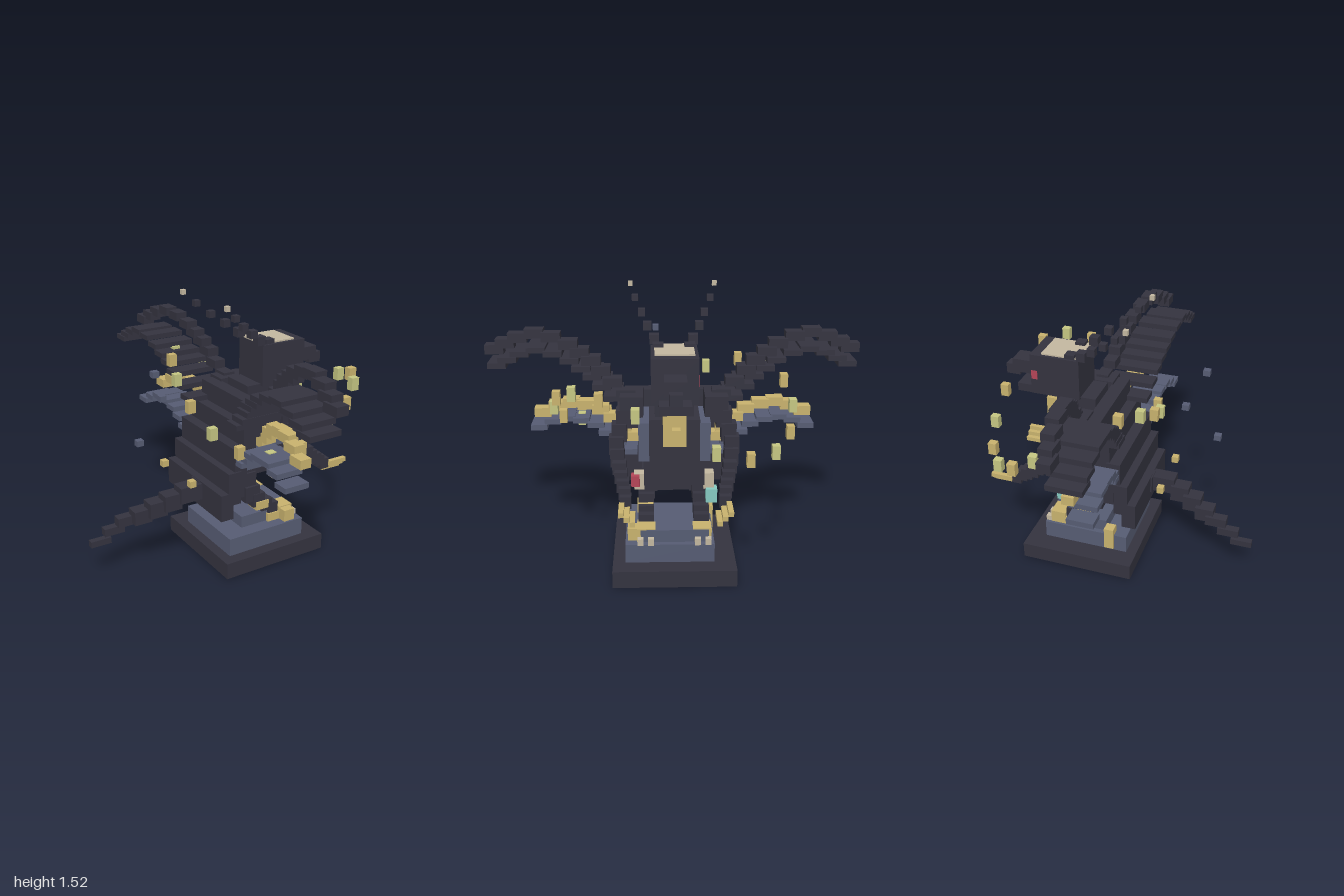
import * as THREE from 'three';

export function createModel() {
  const root = new THREE.Group();
  const mat = (name, color) => new THREE.MeshStandardMaterial({ name, color });
  const dark = mat('charcoal', 0x34333f), slate = mat('slate', 0x565c73), gold = mat('gold', 0xc8b26e),
    green = mat('pale green', 0xc5c682), cream = mat('cream', 0xc3b7a0), red = mat('red', 0xb54558),
    teal = mat('teal', 0x86c9c0);

  const part = (name) => {
    const g = new THREE.Group();
    g.name = name;
    root.add(g);
    return g;
  };
  // box given by its limits on each axis
  const span = (g, name, m, x0, x1, y0, y1, z0, z1) => {
    const mesh = new THREE.Mesh(new THREE.BoxGeometry(x1 - x0, y1 - y0, z1 - z0), m);
    mesh.position.set((x0 + x1) / 2, (y0 + y1) / 2, (z0 + z1) / 2);
    mesh.name = name;
    g.add(mesh);
    return mesh;
  };
  // box given by centre and size
  const box = (g, name, m, [x, y, z], [w, h, d]) =>
    span(g, name, m, x - w / 2, x + w / 2, y - h / 2, y + h / 2, z - d / 2, z + d / 2);

  // stepped plinth
  const base = part('plinth');
  span(base, 'bottomStep', dark, -0.12, 0.54, 0, 0.095, -0.33, 0.33);
  span(base, 'middleStep', slate, -0.06, 0.44, 0.095, 0.2, -0.215, 0.262);
  span(base, 'topStep', slate, 0.07, 0.41, 0.2, 0.27, -0.185, 0.18);
  span(base, 'rearOrnament', gold, 0.014, 0.07, 0.11, 0.245, -0.23, -0.17);
  span(base, 'frontOrnament', gold, 0.32, 0.39, 0.2, 0.27, 0.18, 0.25);

  // torso and neck
  const body = part('body');
  span(body, 'belly', dark, 0.06, 0.36, 0.51, 0.74, -0.16, 0.16);
  span(body, 'hips', dark, 0, 0.2, 0.41, 0.52, -0.1, 0.1);
  span(body, 'torso', slate, 0.1, 0.415, 0.67, 0.88, -0.185, 0.185);
  span(body, 'chest', dark, 0.2, 0.425, 0.66, 0.9, -0.13, 0.13);
  span(body, 'chestPlate', gold, 0.36, 0.455, 0.765, 0.96, -0.06, 0.06);
  span(body, 'neck', dark, 0.15, 0.375, 0.85, 1.02, -0.1, 0.1);

  // head
  const head = part('head');
  span(head, 'skull', dark, 0.235, 0.515, 1.01, 1.243, -0.118, 0.118);
  span(head, 'crownPlate', cream, 0.238, 0.455, 1.243, 1.251, -0.1, 0.1);
  span(head, 'muzzle', dark, 0.515, 0.65, 1.09, 1.167, -0.055, 0.055);
  span(head, 'muzzleTip', dark, 0.62, 0.7, 1.06, 1.12, -0.032, 0.032);
  span(head, 'jaw', dark, 0.33, 0.615, 0.988, 1.035, -0.08, 0.08);
  span(head, 'eye', red, 0.475, 0.51, 1.1, 1.15, -0.122, -0.117);

  // stepped shell down the back
  const shell = part('backShell');
  [[-0.102, 0.43, 0.3], [-0.055, 0.53, 0.3], [-0.012, 0.66, 0.29], [0.05, 0.77, 0.28], [0.11, 0.88, 0.26]]
    .forEach(([x, y, z], i) => box(shell, 'shellSlab', dark, [x, y, 0], [0.078, i ? 0.19 : 0.155, 2 * z]));

  // tail, tapering in steps to the rear
  const tail = part('tail');
  [[-0.06, 0.455, 0.03, 0.18, 0.1], [-0.2, 0.452, 0.055, 0.15, 0.095], [-0.312, 0.418, 0.04, 0.105, 0.095],
    [-0.392, 0.385, 0.015, 0.105, 0.09], [-0.472, 0.348, -0.015, 0.105, 0.08], [-0.545, 0.325, -0.045, 0.12, 0.055],
    [-0.62, 0.277, -0.06, 0.12, 0.045], [-0.7, 0.222, -0.065, 0.12, 0.036]]
    .forEach(([x, y, z, w, h]) => box(tail, 'tailSegment', dark, [x, y, z], [w, h, Math.min(0.085, h)]));

  // leading edges of the wings, from root to tip
  const upperEdge = [[0.22, 0.98, 0.25], [0.2, 1.04, 0.32], [0.19, 1.1, 0.38], [0.175, 1.15, 0.43], [0.16, 1.19, 0.49],
    [0.145, 1.23, 0.55], [0.125, 1.265, 0.64], [0.105, 1.28, 0.73], [0.09, 1.255, 0.82], [0.075, 1.22, 0.89], [0.06, 1.185, 0.95]];
  const lowerEdge = [[0.18, 0.73, 0.21], [0.165, 0.78, 0.27], [0.155, 0.83, 0.33], [0.14, 0.87, 0.39],
    [0.12, 0.89, 0.47], [0.1, 0.895, 0.55], [0.08, 0.87, 0.63], [0.06, 0.83, 0.71]];
  const armPath = [[0.27, 0.93, 0.23], [0.29, 0.87, 0.26], [0.31, 0.8, 0.285], [0.34, 0.74, 0.3], [0.368, 0.683, 0.295],
    [0.418, 0.645, 0.285], [0.458, 0.61, 0.275], [0.5, 0.58, 0.265], [0.535, 0.555, 0.255], [0.575, 0.525, 0.25]];
  const legPath = [[0.1, 0.46, 0.13, 0.14], [0.14, 0.4, 0.145, 0.095], [0.18, 0.355, 0.15, 0.08],
    [0.235, 0.31, 0.15, 0.07], [0.28, 0.28, 0.15, 0.065]];

  for (const s of [1, -1]) {
    const side = s > 0 ? 'positive side' : 'negative side';
    const at = ([x, y, z]) => [x, y, s * z];

    const wing = part('upperWing ' + side);
    upperEdge.forEach(([x, y, z], i) => {
      const t = i / 10, rear = -0.05 - 0.07 * Math.min(1, t * 1.5);
      box(wing, 'leadingEdge', dark, at([x, y, z]), [0.07, 0.05, 0.1]);
      box(wing, 'feather', dark, at([(x + rear) / 2, y - 0.1, z]), [x - rear, 0.03, 0.1]);
    });

    const lower = part('lowerWing ' + side);
    lowerEdge.forEach(([x, y, z], i) => {
      const rear = -0.04 - 0.006 * i;
      box(lower, 'lowerEdge', gold, at([x, y, z]), [0.065, 0.05, 0.09]);
      box(lower, 'lowerFeather', slate, at([(x + rear) / 2, y - 0.1, z + 0.03]), [x - rear, 0.03, 0.09]);
    });

    // arm with three stepped fingers
    const arm = part('arm ' + side);
    box(arm, 'shoulder', dark, at([0.235, 0.92, 0.22]), [0.19, 0.14, 0.12]);
    armPath.forEach((p, i) => {
      const k = 0.085 - 0.003 * i;
      box(arm, 'armSegment', dark, at(p), [k, i < 5 ? 0.095 : 0.062, k]);
    });
    for (let i = 0; i < 3; i++)
      box(arm, 'finger', gold, at([0.665, 0.468 + 0.025 * i, 0.215 + 0.027 * i]), [0.13, 0.025, 0.027]);

    // leg, foot and toes
    const leg = part('leg ' + side);
    legPath.forEach(([x, y, z, k]) => box(leg, 'legSegment', dark, at([x, y, z]), [k, k, 0.085]));
    box(leg, 'anklet', gold, at([0.2, 0.32, 0.155]), [0.085, 0.05, 0.09]);
    box(leg, 'heel', gold, at([0.28, 0.225, 0.155]), [0.08, 0.05, 0.09]);
    box(leg, 'foot', gold, at([0.362, 0.238, 0.15]), [0.09, 0.076, 0.1]);
    for (const z of [0.125, 0.182]) box(leg, 'toe', cream, at([0.418, 0.213, z]), [0.045, 0.037, 0.032]);

    // antenna
    const antenna = part('antenna ' + side);
    [[0.29, 1.24, 0.08, 0.055], [0.22, 1.272, 0.1, 0.05], [0.15, 1.325, 0.135, 0.043], [0.075, 1.38, 0.165, 0.038],
      [0.002, 1.443, 0.2, 0.034]].forEach(([x, y, z, k]) => box(antenna, 'antennaBead', dark, at([x, y, z]), [k, k, k]));
    box(antenna, 'antennaTip', cream, at([-0.065, 1.507, 0.226]), [0.025, 0.027, 0.025]);

    // charms at the waist
    const charms = part('charms ' + side);
    box(charms, 'creamCharm', cream, at([0.297, 0.518, 0.185]), [0.062, 0.09, 0.055]);
    if (s > 0) box(charms, 'redCharm', red, [0.328, 0.53, 0.205], [0.052, 0.06, 0.045]);
    else box(charms, 'tealCharm', teal, [0.318, 0.44, -0.2], [0.063, 0.078, 0.06]);
    box(charms, 'tailSpark', gold, at([-0.242, 0.553, 0.157]), [0.037, 0.037, 0.037]);
  }

  // waving ring of floating pieces
  const ring = part('floatingRing');
  for (let i = 0; i < 20; i++) {
    const a = i * Math.PI / 10;
    box(ring, 'ringPiece', i % 2 ? green : gold,
      [0.29 + 0.445 * Math.cos(a), 0.93 + 0.163 * Math.sin(2 * a), 0.62 * Math.sin(a)], [0.046, 0.07, 0.04]);
  }

  // drifting specks behind
  const specks = part('driftingSpecks');
  [[-0.413, 1.185, 0.09], [-0.328, 1.01, 0], [-0.5, 0.815, 0.06]]
    .forEach((p) => box(specks, 'speck', slate, p, [0.038, 0.032, 0.035]));

  return root;
}
